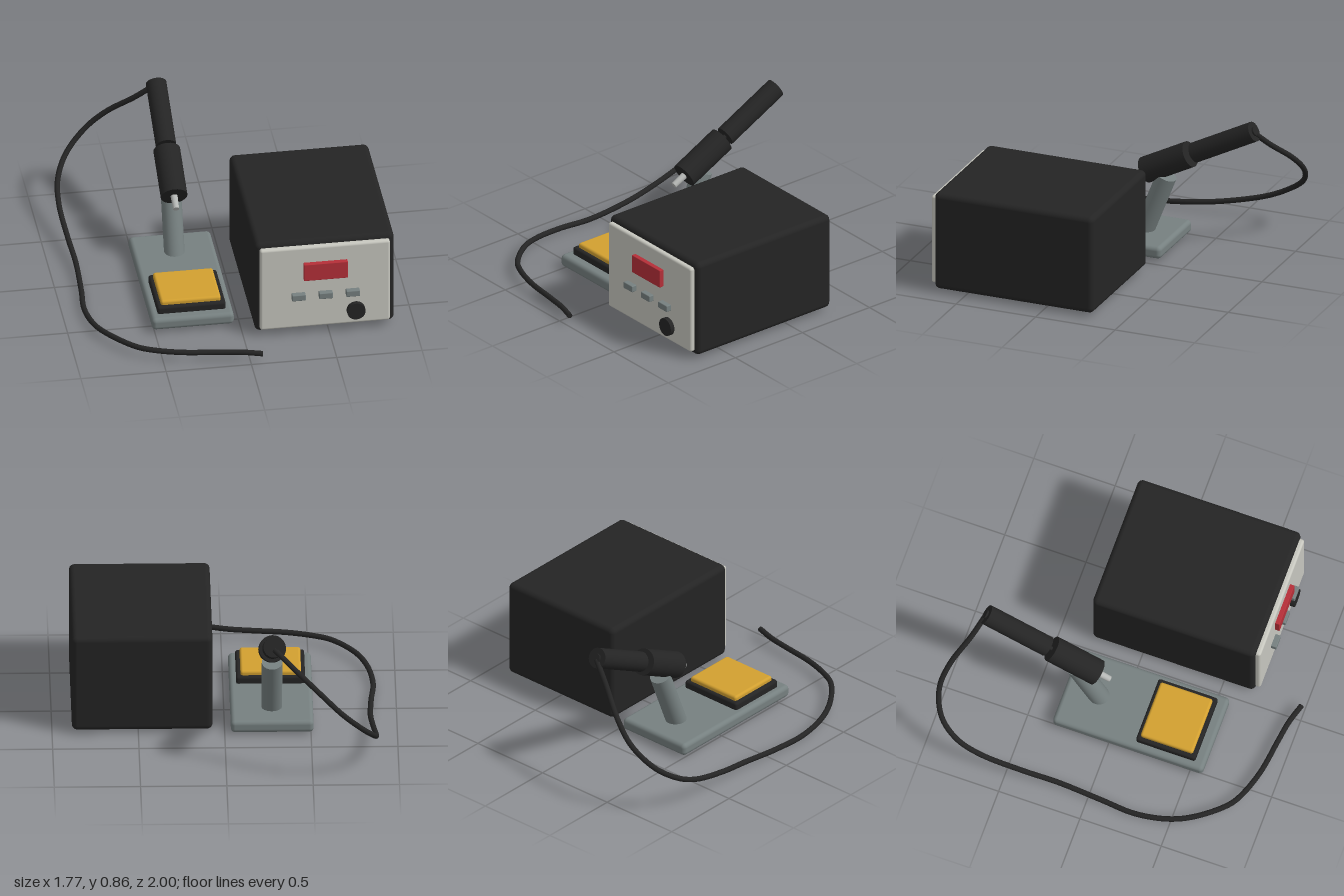
import * as THREE from 'three';
import { RoundedBoxGeometry } from 'three/addons/geometries/RoundedBoxGeometry.js';

const material = (name, color) => {
  const m = new THREE.MeshStandardMaterial({ color });
  m.name = name;
  return m;
};

export function createModel() {
  const black = material('black plastic', 0x242424);
  const panelGrey = material('pale panel', 0xc6c6be);
  const red = material('red display', 0xb52f38);
  const yellow = material('yellow sponge', 0xd2a030);
  const grey = material('grey metal', 0x768080);
  const silver = material('silver tip', 0xb4b6b4);

  const model = new THREE.Group();
  model.name = 'solderingStation';

  const add = (parent, name, geometry, mat) => {
    const mesh = new THREE.Mesh(geometry, mat);
    mesh.name = name;
    parent.add(mesh);
    return mesh;
  };

  // Rounded box given by its lower and upper corners
  const block = (parent, name, mat, [x0, y0, z0], [x1, y1, z1], radius) => {
    const geometry = new RoundedBoxGeometry(x1 - x0, y1 - y0, z1 - z0, 4, radius);
    const mesh = add(parent, name, geometry, mat);
    mesh.position.set((x0 + x1) / 2, (y0 + y1) / 2, (z0 + z1) / 2);
    return mesh;
  };

  // Cylinder running from point a to point b
  const rod = (parent, name, mat, a, b, radiusA, radiusB = radiusA) => {
    const from = new THREE.Vector3(...a);
    const axis = new THREE.Vector3(...b).sub(from);
    const geometry = new THREE.CylinderGeometry(radiusB, radiusA, axis.length(), 32);
    const mesh = add(parent, name, geometry, mat);
    mesh.position.copy(from).addScaledVector(axis, 0.5);
    mesh.quaternion.setFromUnitVectors(new THREE.Vector3(0, 1, 0), axis.normalize());
    return mesh;
  };

  // Control unit with its front panel
  const unit = new THREE.Group();
  unit.name = 'controlUnit';
  model.add(unit);
  block(unit, 'housing', black, [0.07, 0.02, -0.31], [0.885, 0.62, 0.69], 0.032);
  block(unit, 'frontPanel', panelGrey, [0.095, 0.045, 0.67], [0.857, 0.59, 0.718], 0.015);
  block(unit, 'display', red, [0.348, 0.376, 0.71], [0.606, 0.487, 0.745], 0.004);
  for (const x of [0.318, 0.477, 0.636]) {
    block(unit, 'button', grey, [x - 0.04, 0.246, 0.71], [x + 0.04, 0.286, 0.75], 0.005);
  }
  rod(unit, 'knob', black, [0.655, 0.14, 0.71], [0.655, 0.14, 0.745], 0.054);

  // Stand with sponge tray and leaning post
  const stand = new THREE.Group();
  stand.name = 'ironStand';
  model.add(stand);
  block(stand, 'standBase', grey, [-0.515, 0.015, -0.345], [-0.035, 0.09, 0.58], 0.025);
  block(stand, 'spongeTray', black, [-0.475, 0.08, 0.155], [-0.075, 0.135, 0.52], 0.015);
  block(stand, 'sponge', yellow, [-0.452, 0.11, 0.175], [-0.1, 0.162, 0.497], 0.015);
  rod(stand, 'standPost', grey, [-0.275, 0.06, -0.133], [-0.275, 0.445, -0.285], 0.06);

  // Soldering iron: all parts lie on one slanted axis, located by z
  const iron = new THREE.Group();
  iron.name = 'solderingIron';
  model.add(iron);
  const onAxis = (z) => [-0.275, 0.617 - 0.513 * (z + 0.458), z];
  rod(iron, 'handle', black, onAxis(-0.458), onAxis(-0.834), 0.06);
  rod(iron, 'holderSleeve', black, onAxis(-0.152), onAxis(-0.432), 0.078);
  rod(iron, 'heaterCore', black, onAxis(-0.4), onAxis(-0.48), 0.012);
  rod(iron, 'tip', silver, onAxis(-0.075), onAxis(-0.2), 0.018, 0.022);
  rod(iron, 'cableCollar', black, onAxis(-0.825), onAxis(-0.843), 0.026);

  // Cable sweeping from the handle down and round to the front
  const path = [
    [-0.275, 0.8, -0.838], [-0.39, 0.695, -0.885], [-0.55, 0.56, -0.963],
    [-0.67, 0.445, -0.983], [-0.79, 0.32, -0.925], [-0.855, 0.225, -0.81],
    [-0.872, 0.15, -0.66], [-0.86, 0.08, -0.4], [-0.847, 0.045, -0.185],
    [-0.855, 0.017, 0.08], [-0.87, 0.02, 0.29], [-0.84, 0.035, 0.49],
    [-0.775, 0.05, 0.635], [-0.64, 0.055, 0.795], [-0.55, 0.055, 0.845],
    [-0.39, 0.055, 0.895], [-0.18, 0.055, 0.925], [-0.05, 0.055, 0.945],
    [0.07, 0.055, 0.98],
  ].map((p) => new THREE.Vector3(...p));
  const curve = new THREE.CatmullRomCurve3(path);
  add(model, 'cable', new THREE.TubeGeometry(curve, 160, 0.016, 12), black);
  const end = add(model, 'cableEnd', new THREE.CircleGeometry(0.016, 12), black);
  end.position.copy(path.at(-1));
  end.quaternion.setFromUnitVectors(new THREE.Vector3(0, 0, 1), curve.getTangent(1));

  return model;
}
